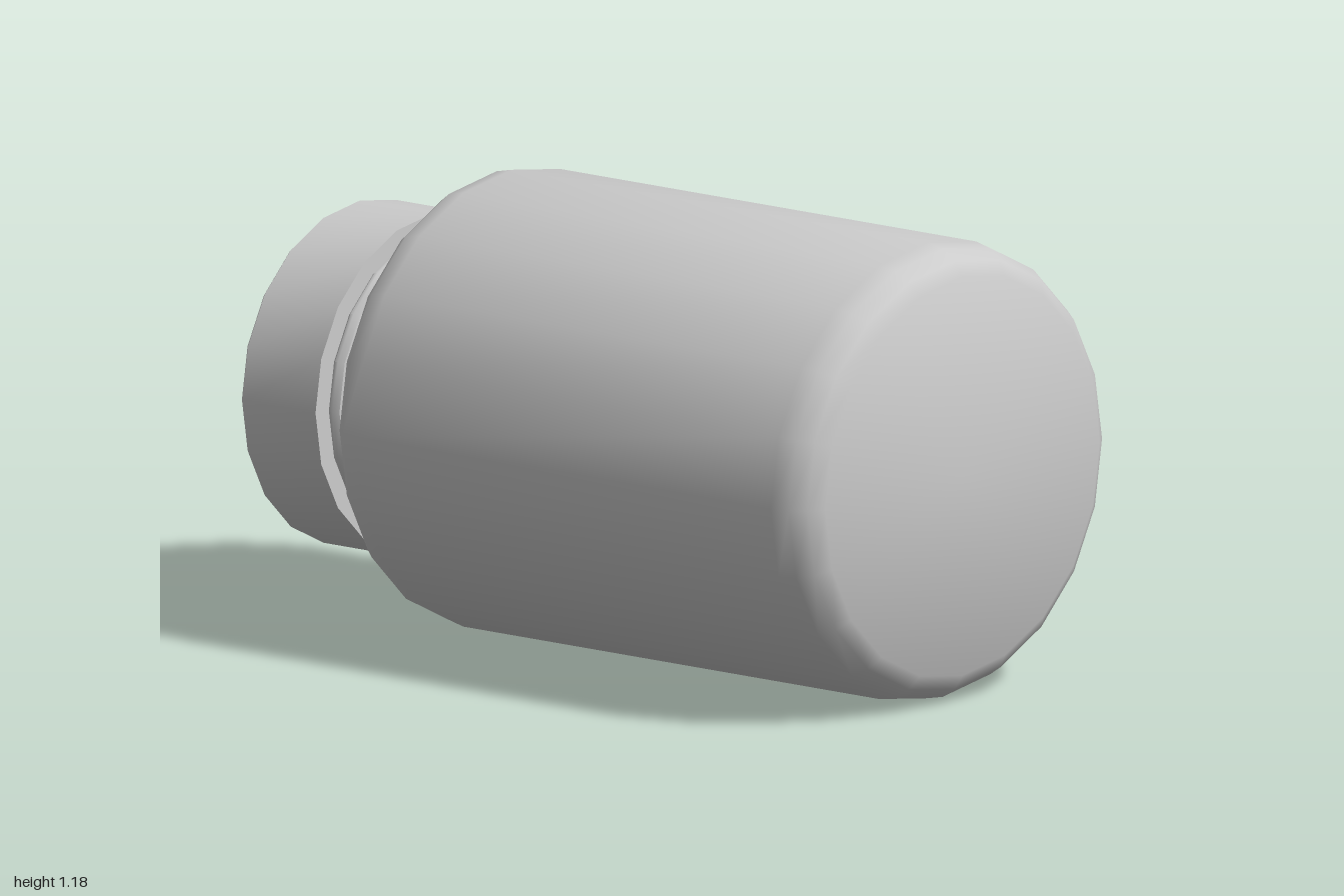
import * as THREE from 'three';
import { toCreasedNormals } from 'three/addons/utils/BufferGeometryUtils.js';

const SIDES = 20;
const CENTRE_Y = 0.59;
const FLATTEN = 0.955; // the bottle is slightly oval in section

// Turned part lying on its side: profile of [radius, distance towards the back]
function turned(name, profile, material) {
  const points = profile.map(([r, d]) => new THREE.Vector2(r, d));
  const lathe = new THREE.LatheGeometry(points, SIDES);
  lathe.rotateX(-Math.PI / 2);
  lathe.scale(1, FLATTEN, 1);
  lathe.translate(0, CENTRE_Y, 0);
  const mesh = new THREE.Mesh(toCreasedNormals(lathe, 0.75), material);
  mesh.name = name;
  return mesh;
}

export function createModel() {
  const group = new THREE.Group();
  group.name = 'bottle';
  const material = new THREE.MeshStandardMaterial({ color: 0xcccccc });

  // Body with rounded base edge and sloping shoulder
  group.add(turned('body', [
    [0, -1], [0.54, -1], [0.58, -0.975], [0.607, -0.935], [0.618, -0.885],
    [0.618, 0.49], [0.607, 0.54], [0.585, 0.568], [0.54, 0.585], [0.4, 0.612], [0, 0.612],
  ], material));

  // Neck, running up inside the cap
  group.add(turned('neck', [[0.405, 0.6], [0.405, 0.78]], material));

  // Rounded sealing ring under the cap
  group.add(turned('neckRing', [
    [0.4, 0.702], [0.42, 0.707], [0.429, 0.722], [0.429, 0.732], [0.42, 0.742], [0.4, 0.746],
  ], material));

  // Screw cap with a thin bevel round the end
  group.add(turned('cap', [
    [0, 0.75], [0.463, 0.75], [0.463, 0.992], [0.455, 1], [0, 1],
  ], material));

  return group;
}
